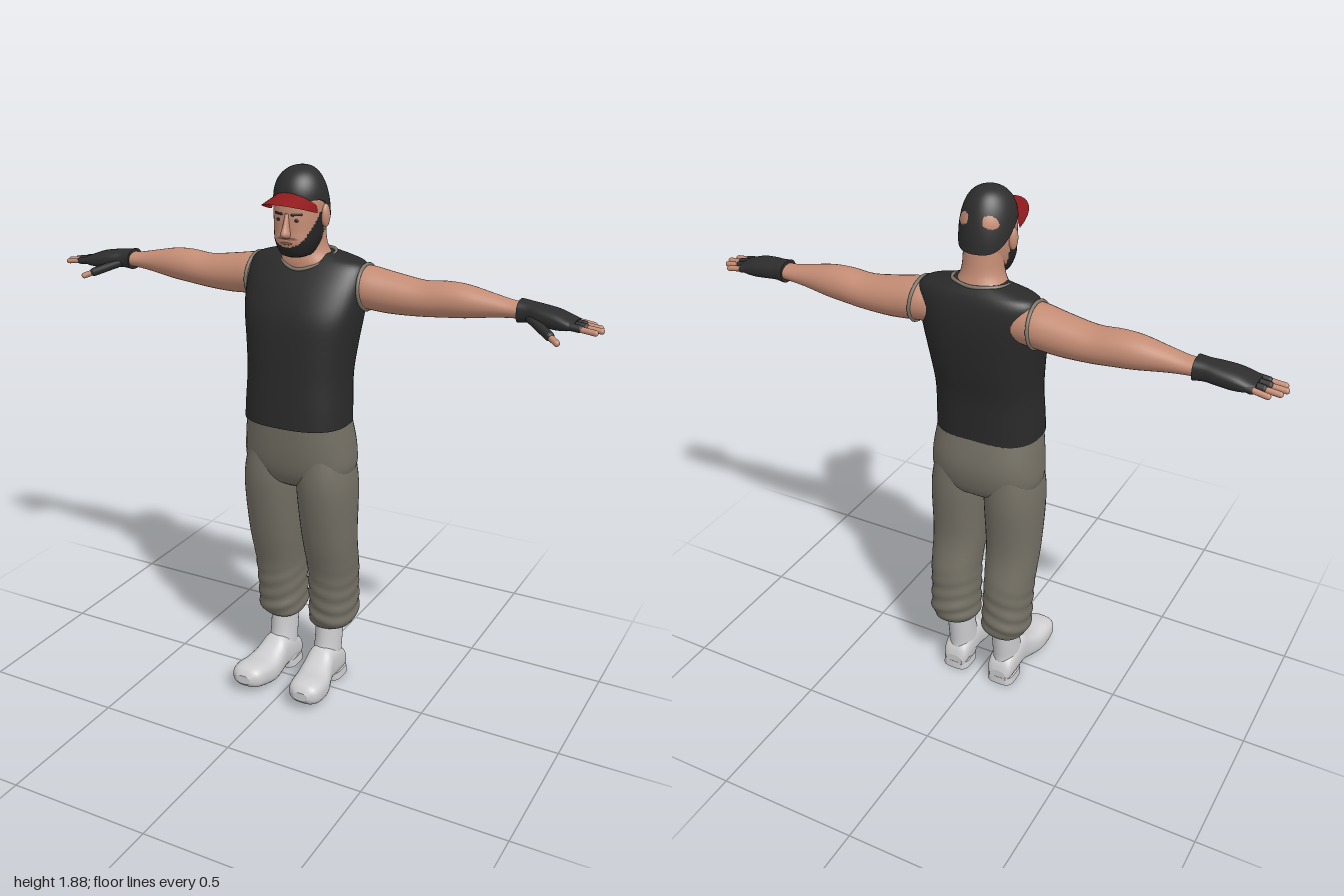
import * as THREE from 'three';
import { ParametricGeometry } from 'three/addons/geometries/ParametricGeometry.js';

const mat = (name, color, side = THREE.FrontSide) =>
  Object.assign(new THREE.MeshStandardMaterial({ color, side }), { name });

// Smooth skin over rows [t, aMin, aMax, bMin, bMax] along an axis.
// (a, b) are (z, x) for axis y, (y, z) for axis x and (x, y) for axis z.
function loft(axis, rows, { p = 2, seg = 32, sub = 4, warp, pick } = {}) {
  const fine = [], n = rows.length, pos = [], buckets = [[], [], []];
  for (let i = 0; i < (n - 1) * sub + 1; i++) {
    const k = Math.min(Math.floor(i / sub), n - 2), f = i / sub - k;
    const r = [k - 1, k, k + 1, k + 2].map(j => rows[Math.max(0, Math.min(n - 1, j))]);
    fine.push(r[0].map((_, c) => {
      const [w, x, y, z] = r.map(q => q[c]);
      return x + 0.5 * f * (y - w + f * (2 * w - 5 * x + 4 * y - z + f * (3 * (x - y) + z - w)));
    }));
  }
  const put = (t, a, b) => {
    const v = axis === 'y' ? new THREE.Vector3(b, t, a)
      : axis === 'x' ? new THREE.Vector3(t, a, b) : new THREE.Vector3(a, b, t);
    if (warp) warp(v);
    pos.push(v.x, v.y, v.z);
    return pos.length / 3 - 1;
  };
  const sp = v => Math.sign(v) * Math.abs(v) ** (2 / p);
  const ring = ([t, a0, a1, b0, b1]) => Array.from({ length: seg }, (_, i) => {
    const th = i / seg * Math.PI * 2;
    return put(t, (a0 + a1) / 2 + (a1 - a0) / 2 * sp(Math.cos(th)),
      (b0 + b1) / 2 + (b1 - b0) / 2 * sp(Math.sin(th)));
  });
  const rings = fine.map(ring);
  for (let j = 0; j < rings.length - 1; j++) for (let i = 0; i < seg; i++) {
    const i2 = (i + 1) % seg;
    const q = [rings[j][i], rings[j][i2], rings[j + 1][i2], rings[j + 1][i]];
    const mid = c => q.reduce((s, v) => s + pos[v * 3 + c] / 4, 0);
    buckets[pick ? pick(mid(0), mid(1), mid(2)) : 0].push(q[0], q[1], q[2], q[0], q[2], q[3]);
  }
  for (const end of [0, fine.length - 1]) {
    const r = fine[end], edge = ring(r), c = put(r[0], (r[1] + r[2]) / 2, (r[3] + r[4]) / 2);
    edge.forEach((v, i) => {
      const w = edge[(i + 1) % seg];
      buckets[0].push(c, ...(end ? [v, w] : [w, v]));
    });
  }
  const g = new THREE.BufferGeometry();
  g.setAttribute('position', new THREE.Float32BufferAttribute(pos, 3));
  g.setIndex(buckets.flat());
  let start = 0;
  if (pick) buckets.forEach((b, m) => { g.addGroup(start, b.length, m); start += b.length; });
  g.computeVertexNormals();
  return g;
}

function mirrored(geo) {
  const g = geo.clone().scale(-1, 1, 1), ix = g.index.array;
  for (let i = 0; i < ix.length; i += 3) [ix[i + 1], ix[i + 2]] = [ix[i + 2], ix[i + 1]];
  return g;
}

// Rounded rod from p to q
function rod(p, q, r) {
  const a = new THREE.Vector3(...p), d = new THREE.Vector3(...q).sub(a);
  const turn = new THREE.Quaternion().setFromUnitVectors(new THREE.Vector3(0, 1, 0), d.clone().normalize());
  const mid = a.addScaledVector(d, 0.5);
  return new THREE.CapsuleGeometry(r, d.length(), 5, 12).applyQuaternion(turn).translate(mid.x, mid.y, mid.z);
}

const blob = (x, y, z, sx, sy, sz) => new THREE.SphereGeometry(1, 20, 14).scale(sx, sy, sz).translate(x, y, z);

const hoop = (pts, r) => new THREE.TubeGeometry(
  new THREE.CatmullRomCurve3(pts.map(p => new THREE.Vector3(...p)), true), 64, r, 8, true);

export function createModel() {
  const model = new THREE.Group();
  const skin = mat('skin', 0xc48c74), shirt = mat('shirt black', 0x2a2a2b), trim = mat('trim grey', 0x7d776c),
    trousers = mat('trouser grey', 0x736f64), boot = mat('boot white', 0xcdcdcf), cloth = mat('cap and glove black', 0x2d2d2e),
    hair = mat('beard black', 0x262526), stubble = mat('lip brown', 0x80584a),
    red = mat('visor red', 0x8e1a1c, THREE.DoubleSide);
  const add = (name, geo, material) => {
    const m = new THREE.Mesh(geo, material);
    m.name = name;
    model.add(m);
  };
  const pair = (name, geo, material) => {
    add('left ' + name, geo, material);
    add('right ' + name, mirrored(geo), material);
  };

  // Head with beard coloured by region
  add('head', loft('y', [
    [1.598, -0.03, 0.04, -0.03, 0.03], [1.61, -0.06, 0.062, -0.052, 0.052], [1.65, -0.09, 0.077, -0.071, 0.071],
    [1.69, -0.11, 0.075, -0.078, 0.078], [1.74, -0.12, 0.073, -0.082, 0.082], [1.79, -0.122, 0.066, -0.082, 0.082],
    [1.84, -0.1, 0.04, -0.06, 0.06], [1.865, -0.06, 0.0, -0.03, 0.03]], {
    p: 2.2, seg: 80, sub: 10,
    pick: (x, y, z) => {
      if (z > -0.037 && y < 1.745 && (y < 1.632 || z < -0.003 + (1.745 - y) * 0.72)) return 1;
      return z > 0.03 && Math.abs(x) < 0.034 && y > 1.661 && y < 1.671 ? 2 : 0;
    },
  }), [skin, hair, stubble]);
  add('nose', loft('y', [[1.668, 0.06, 0.088, -0.012, 0.012], [1.68, 0.06, 0.102, -0.016, 0.016],
    [1.705, 0.055, 0.092, -0.011, 0.011], [1.745, 0.05, 0.076, -0.008, 0.008]], { seg: 16 }), skin);
  add('lips', blob(0, 1.65, 0.075, 0.021, 0.005, 0.005), stubble);
  pair('ear', blob(0.086, 1.73, -0.03, 0.014, 0.038, 0.02).rotateZ(0), skin);
  pair('eye', blob(0.03, 1.724, 0.067, 0.01, 0.005, 0.004), hair);
  pair('eyebrow', rod([0.018, 1.742, 0.071], [0.045, 1.743, 0.059], 0.004), hair);
  add('neck', loft('y', [[1.53, -0.165, 0, -0.11, 0.11], [1.57, -0.155, 0.004, -0.1, 0.1],
    [1.605, -0.14, 0, -0.078, 0.078], [1.64, -0.128, 0, -0.068, 0.068], [1.71, -0.118, 0, -0.066, 0.066]]), skin);

  // Cap: dome with a rim that drops towards the back
  const dome = Array.from({ length: 11 }, (_, k) => {
    const a = k / 10 * Math.PI / 2, r = k === 10 ? 0 : Math.cos(a) ** 0.85;
    return [Math.sin(a), -0.03 - 0.105 * r, -0.03 + 0.102 * r, -0.09 * r, 0.09 * r];
  });
  add('cap', loft('y', dome, {
    seg: 40, sub: 2, warp: v => {
      const rim = 1.7 + 0.085 * THREE.MathUtils.smoothstep(v.z, -0.13, 0.01);
      v.y = rim + (1.885 - rim) * v.y;
    },
  }), cloth);
  add('visor', new ParametricGeometry((s, v, out) => {
    const u = s * 2 - 1, a = u * 1.1, b = u * Math.PI / 2;
    const x0 = 0.088 * Math.sin(a), z0 = -0.03 + 0.099 * Math.cos(a);
    const x1 = 0.083 * Math.sin(b), z1 = 0.02 + 0.145 * Math.max(0, Math.cos(b)) ** 0.8;
    out.set(x0 + (x1 - x0) * v, 1.81 - 0.022 * v - 0.042 * u * u, z0 + (z1 - z0) * v);
  }, 32, 8), red);

  // Sleeveless shirt with neck and arm trims
  add('shirt', loft('y', [
    [1.035, -0.15, 0.128, -0.186, 0.186], [1.1, -0.153, 0.124, -0.184, 0.184], [1.2, -0.16, 0.116, -0.181, 0.181],
    [1.3, -0.178, 0.108, -0.19, 0.19], [1.4, -0.19, 0.093, -0.205, 0.205], [1.48, -0.193, 0.056, -0.213, 0.213],
    [1.54, -0.186, 0.015, -0.212, 0.212], [1.572, -0.174, -0.012, -0.196, 0.196],
    [1.588, -0.162, -0.028, -0.15, 0.15], [1.6, -0.15, -0.04, -0.1, 0.1]], { p: 2.5, seg: 48 }), shirt);
  add('neck trim', hoop([[0, 1.552, 0.008], [0.06, 1.567, -0.014], [0.095, 1.594, -0.07],
    [0.075, 1.602, -0.125], [0, 1.6, -0.152], [-0.075, 1.602, -0.125], [-0.095, 1.594, -0.07],
    [-0.06, 1.567, -0.014]], 0.006), trim);
  pair('armhole trim', hoop(Array.from({ length: 12 }, (_, i) => {
    const a = i / 12 * Math.PI * 2;
    return [0.209 - 0.006 * Math.sin(a), 1.495 + 0.074 * Math.sin(a), -0.098 + 0.08 * Math.cos(a)];
  }), 0.006), trim);

  // Arms
  pair('arm', loft('x', [
    [0.15, 1.43, 1.56, -0.17, -0.03], [0.21, 1.424, 1.566, -0.178, -0.02], [0.3, 1.417, 1.552, -0.176, -0.03],
    [0.4, 1.42, 1.538, -0.172, -0.04], [0.48, 1.427, 1.544, -0.17, -0.045], [0.55, 1.434, 1.541, -0.165, -0.05],
    [0.64, 1.448, 1.523, -0.152, -0.063], [0.7, 1.455, 1.511, -0.146, -0.069], [0.75, 1.457, 1.508, -0.142, -0.07]]), skin);

  // Fingerless gloves
  pair('glove', loft('x', [
    [0.726, 1.446, 1.519, -0.15, -0.064], [0.76, 1.45, 1.515, -0.147, -0.064], [0.8, 1.447, 1.51, -0.15, -0.052],
    [0.85, 1.443, 1.502, -0.15, -0.043], [0.89, 1.447, 1.488, -0.145, -0.04], [0.912, 1.455, 1.48, -0.138, -0.046]],
  { p: 2.5 }), cloth);
  [[-0.134, 0.953], [-0.108, 0.981], [-0.081, 0.991], [-0.054, 0.98]].forEach(([z, tip], i) => {
    const zt = z + (i - 1.5) * 0.002;
    pair('finger ' + (i + 1), rod([0.89, 1.468, z], [tip, 1.458, zt], 0.0095), skin);
    pair('glove finger ' + (i + 1), rod([0.88, 1.469, z], [tip - 0.05, 1.464, z], 0.0125), cloth);
  });
  pair('thumb', rod([0.82, 1.45, -0.04], [0.878, 1.425, -0.004], 0.0105), skin);
  pair('glove thumb', rod([0.77, 1.47, -0.075], [0.848, 1.438, -0.024], 0.0155), cloth);

  // Trousers: hips plus two legs gathered at the ankle
  add('trouser hips', loft('y', [
    [0.79, -0.09, 0.03, -0.09, 0.09], [0.82, -0.14, 0.075, -0.165, 0.165], [0.87, -0.163, 0.1, -0.198, 0.198],
    [0.95, -0.17, 0.114, -0.196, 0.196], [1.06, -0.146, 0.122, -0.18, 0.18]], { p: 2.4, seg: 40 }), trousers);
  pair('trouser leg', loft('y', [
    [0.232, -0.156, -0.008, 0.03, 0.17], [0.245, -0.172, 0.003, 0.022, 0.182], [0.275, -0.188, 0.01, 0.017, 0.19],
    [0.31, -0.19, 0.011, 0.02, 0.19], [0.38, -0.182, 0.017, 0.02, 0.191], [0.46, -0.175, 0.026, 0.02, 0.195],
    [0.6, -0.147, 0.061, 0.012, 0.201], [0.8, -0.157, 0.096, 0.003, 0.203], [0.93, -0.15, 0.093, 0.01, 0.18]], {
    p: 2.2, seg: 40, sub: 6,
    // soft creases near the ankle
    warp: v => {
      const k = 0.004 * (1 - THREE.MathUtils.smoothstep(v.y, 0.3, 0.55));
      const w = 1 + k * 8 * Math.sin(v.y * 110 + v.x * 30 + v.z * 25);
      v.x = 0.105 + (v.x - 0.105) * w;
      v.z = -0.085 + (v.z + 0.085) * w;
    },
  }), trousers);

  // Boots
  pair('boot shaft', loft('y', [
    [0.03, -0.138, 0, 0.046, 0.138], [0.1, -0.13, 0.008, 0.044, 0.14], [0.16, -0.134, -0.01, 0.045, 0.14],
    [0.27, -0.146, -0.02, 0.045, 0.14]]), boot);
  pair('boot foot', loft('z', [
    [-0.143, 0.06, 0.125, 0.012, 0.06], [-0.125, 0.046, 0.14, 0.01, 0.1], [-0.07, 0.042, 0.146, 0.012, 0.14],
    [-0.01, 0.042, 0.148, 0.012, 0.15], [0.03, 0.04, 0.157, 0.005, 0.125], [0.08, 0.04, 0.172, 0.001, 0.105],
    [0.14, 0.05, 0.178, 0.012, 0.107], [0.178, 0.062, 0.17, 0.026, 0.1], [0.198, 0.09, 0.145, 0.045, 0.078]],
  { p: 2.6 }), boot);
  pair('boot heel', loft('y', [[0, -0.146, -0.035, 0.042, 0.146], [0.03, -0.144, -0.03, 0.044, 0.144]], { p: 3.5 }), boot);

  return model;
}
